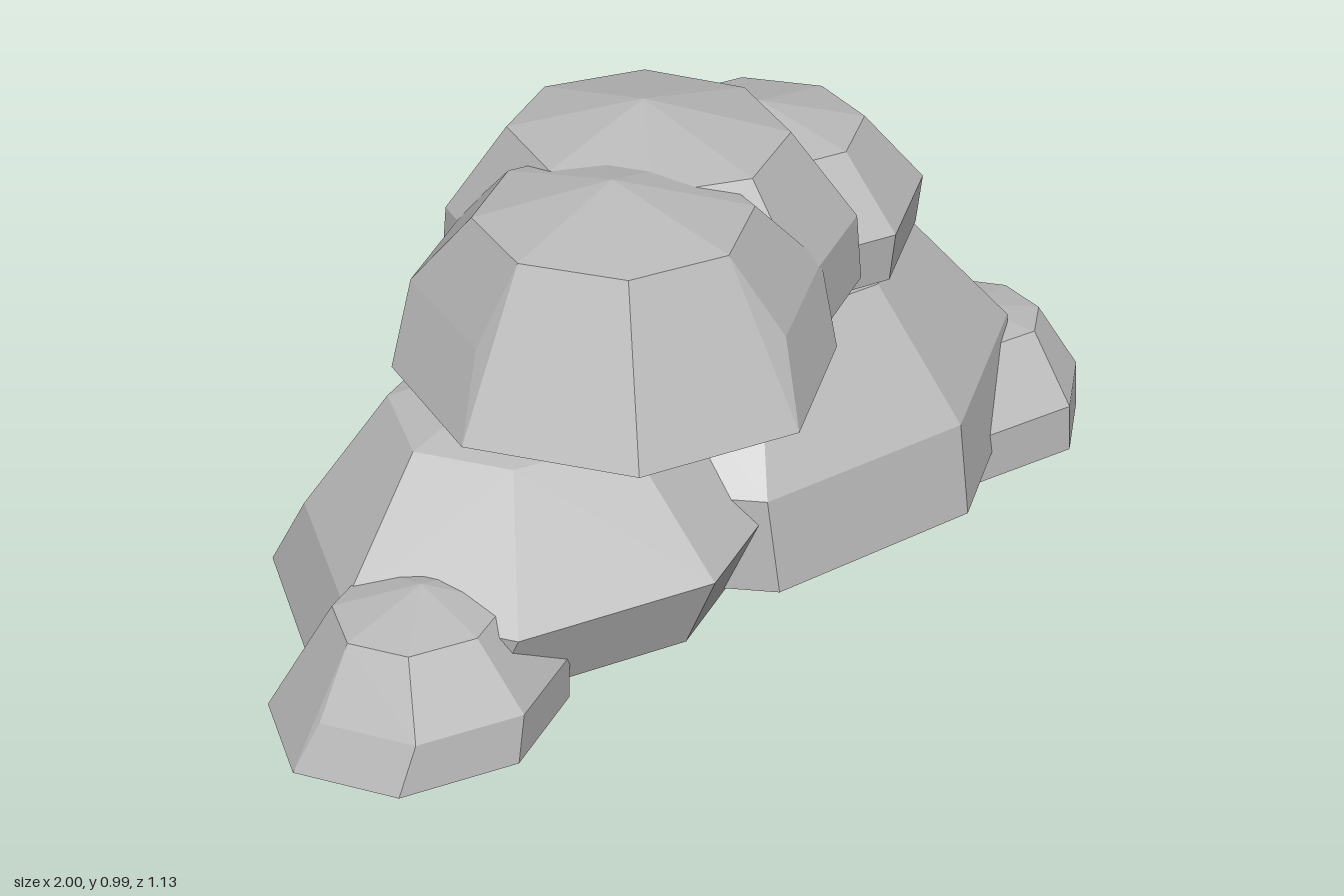
import * as THREE from 'three';
import { ConvexGeometry } from 'three/addons/geometries/ConvexGeometry.js';

const SIDES = 8;

// Faceted boulder: eight-sided rings around a centre, with its own reach to each side.
// rings are [height, scale, x shift, z shift]; a smaller ring closes the underside.
function rockGeometry({ centre: [cx, cz], reach, turn, top, bottom, rings }) {
  const points = [new THREE.Vector3(cx, top, cz), new THREE.Vector3(cx, bottom, cz)];
  const lowest = rings[rings.length - 1][0];
  const underside = [bottom + (lowest - bottom) * 0.25, 0.6];
  for (const [y, scale, dx = 0, dz = 0] of [...rings, underside]) {
    for (let i = 0; i < SIDES; i++) {
      const angle = THREE.MathUtils.degToRad(turn) + (i / SIDES) * Math.PI * 2;
      const c = Math.cos(angle), s = Math.sin(angle);
      const rx = c > 0 ? reach.right : reach.left;
      const rz = s > 0 ? reach.front : reach.back;
      points.push(new THREE.Vector3(cx + c * rx * scale + dx, y, cz + s * rz * scale + dz));
    }
  }
  return new ConvexGeometry(points);
}

export function createModel() {
  const group = new THREE.Group();
  group.name = 'rockPile';
  const stone = new THREE.MeshStandardMaterial({ color: 0xb8b8b8 });
  stone.name = 'greyStone';

  const addRock = (name, shape) => {
    const mesh = new THREE.Mesh(rockGeometry(shape), stone);
    mesh.name = name;
    group.add(mesh);
  };

  // Two large rocks carrying the pile
  addRock('largeBaseRock', {
    centre: [0.31, -0.03], turn: -6, top: 0.545, bottom: 0.03,
    reach: { left: 0.62, right: 0.615, back: 0.54, front: 0.5 },
    rings: [[0.54, 0.61], [0.29, 1], [0.1, 0.99, 0, 0.035]],
  });
  addRock('leftBaseRock', {
    centre: [-0.25, -0.06], turn: 4, top: 0.525, bottom: 0.02,
    reach: { left: 0.58, right: 0.5, back: 0.48, front: 0.46 },
    rings: [[0.445, 0.53], [0.24, 0.91, 0, 0.05], [0.08, 0.94, 0, -0.03]],
  });

  // Small rocks at the two ends
  addRock('smallLeftRock', {
    centre: [-0.7, 0.08], turn: 4, top: 0.305, bottom: 0.005,
    reach: { left: 0.3, right: 0.27, back: 0.26, front: 0.26 },
    rings: [[0.265, 0.57], [0.14, 0.9, 0.02, 0.01], [0.05, 1, 0, -0.01]],
  });
  addRock('smallRightRock', {
    centre: [0.765, 0.195], turn: -4, top: 0.29, bottom: 0,
    reach: { left: 0.32, right: 0.235, back: 0.23, front: 0.27 },
    rings: [[0.265, 0.55, 0.03], [0.14, 0.97], [0.04, 1]],
  });

  // Three rocks stacked on top
  addRock('topMiddleRock', {
    centre: [-0.03, 0.01], turn: 4, top: 0.985, bottom: 0.56,
    reach: { left: 0.35, right: 0.4, back: 0.4, front: 0.41 },
    rings: [[0.92, 0.66], [0.75, 0.97], [0.62, 1]],
  });
  addRock('topLeftRock', {
    centre: [-0.27, 0.15], turn: -2, top: 0.96, bottom: 0.555,
    reach: { left: 0.4, right: 0.39, back: 0.39, front: 0.415 },
    rings: [[0.9, 0.62], [0.75, 0.92, 0.05, -0.04], [0.61, 1]],
  });
  addRock('topRightRock', {
    centre: [0.34, -0.02], turn: -4, top: 0.84, bottom: 0.53,
    reach: { left: 0.3, right: 0.34, back: 0.335, front: 0.32 },
    rings: [[0.79, 0.63], [0.65, 1], [0.55, 0.97]],
  });
  return group;
}
